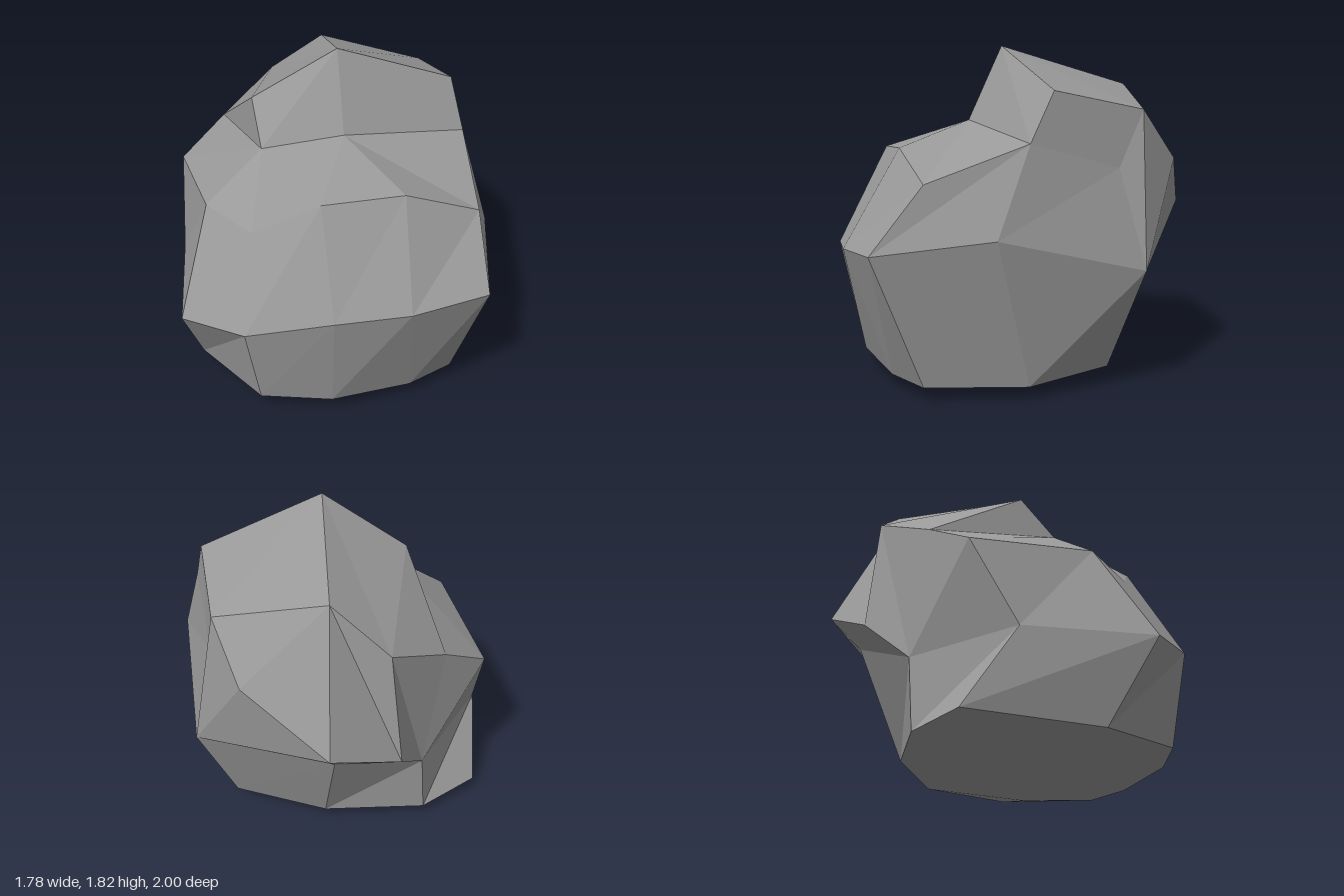
import * as THREE from 'three';

const pts = (...list) => list.map((p) => new THREE.Vector3(...p));

// Flat-faced band between two chains of equal length; repeated points make fans.
function band(name, low, high, material, closed = true) {
  const pos = [];
  const tri = (a, b, c) => {
    if (a !== b && b !== c && c !== a) for (const p of [a, b, c]) pos.push(p.x, p.y, p.z);
  };
  const n = low.length;
  for (let i = 0; i < (closed ? n : n - 1); i++) {
    const j = (i + 1) % n;
    tri(low[i], low[j], high[j]);
    tri(low[i], high[j], high[i]);
  }
  const geometry = new THREE.BufferGeometry();
  geometry.setAttribute('position', new THREE.Float32BufferAttribute(pos, 3));
  geometry.computeVertexNormals();
  const mesh = new THREE.Mesh(geometry, material);
  mesh.name = name;
  return mesh;
}

const pick = (list, indices) => indices.map((i) => list[i]);

export function createModel() {
  const stone = new THREE.MeshStandardMaterial({ color: 0x999999, flatShading: true });
  stone.name = 'grey stone';

  // Cross-section loops, from the front right-hand corner (-x) round through +x and the back
  const keel = pts([-0.31, 0, 0.22], [0.42, 0, 0.13]);
  const foot = pts(
    [-0.72, 0.07, 0.45], [-0.35, 0.09, 0.84], [0.04, 0.1, 0.87], [0.47, 0.08, 0.72], [0.71, 0.08, 0.56],
    [0.74, 0.07, 0.02], [0.52, 0.09, -0.44], [-0.02, 0.1, -0.57], [-0.59, 0.08, -0.48], [-0.89, 0.1, -0.25]);
  const waist = pts(
    [-0.77, 0.53, 0.72], [-0.41, 0.59, 0.93], [0.05, 0.73, 1.0], [0.44, 0.76, 0.96], [0.84, 0.79, 0.82],
    [0.89, 0.86, 0.2], [0.69, 0.65, -0.6], [-0.09, 0.72, -0.82], [-0.56, 0.48, -0.51], [-0.86, 0.53, 0.03]);
  const shoulder = pts(
    [-0.64, 1.07, 0.43], [-0.38, 1.03, 0.64], [-0.02, 1.26, 0.73], [0.4, 1.28, 0.66], [0.79, 1.13, 0.55],
    [0.75, 1.32, 0.02], [0.6, 1.18, -0.47], [0.54, 1.48, -0.61], [0.38, 1.21, -0.83], [-0.08, 0.91, -1.0],
    [-0.44, 0.71, -0.76], [-0.36, 1.37, -0.72], [-0.64, 1.18, -0.43], [-0.87, 1.0, -0.22]);
  // Ledge edge (0, 1) and crown corners: peak, right, back, left
  const [ledgeA, ledgeB, peak, crownB, crownBack, crownA] = pts(
    [-0.35, 1.32, 0.26], [0.09, 1.41, 0.27], [0.05, 1.82, 0.08],
    [0.68, 1.58, -0.11], [-0.05, 1.61, -0.65], [-0.41, 1.53, 0.07]);

  const rock = new THREE.Group();
  rock.name = 'rock';

  // Shallow underside and steep lower sides
  rock.add(band('underside', pick(keel, [0, 0, 0, 1, 1, 1, 1, 1, 0, 0]), foot, stone));
  rock.add(band('lowerSides', foot, waist, stone));

  // Upper sides fan out at the two back corners
  rock.add(band('upperSides', pick(waist, [0, 1, 2, 3, 4, 5, 6, 6, 6, 7, 8, 8, 8, 9]), shoulder, stone));

  // Ledge and crown close the top
  const outer = pick(shoulder, [0, 1, 2, 3, 4, 5, 5, 5, 6, 7, 7, 7, 8, 9, 10, 11, 11, 11, 12, 12, 13]);
  const inner = [
    ledgeA, ledgeA, ledgeA, ledgeB, ledgeB, ledgeB, peak, crownB, crownB, crownB, peak,
    crownBack, crownBack, crownBack, crownBack, crownBack, peak, crownA, crownA, ledgeA, ledgeA];
  rock.add(band('crown', outer, inner, stone));
  rock.add(band('crownFront', [ledgeA, ledgeB], [crownA, peak], stone, false));

  return rock;
}
